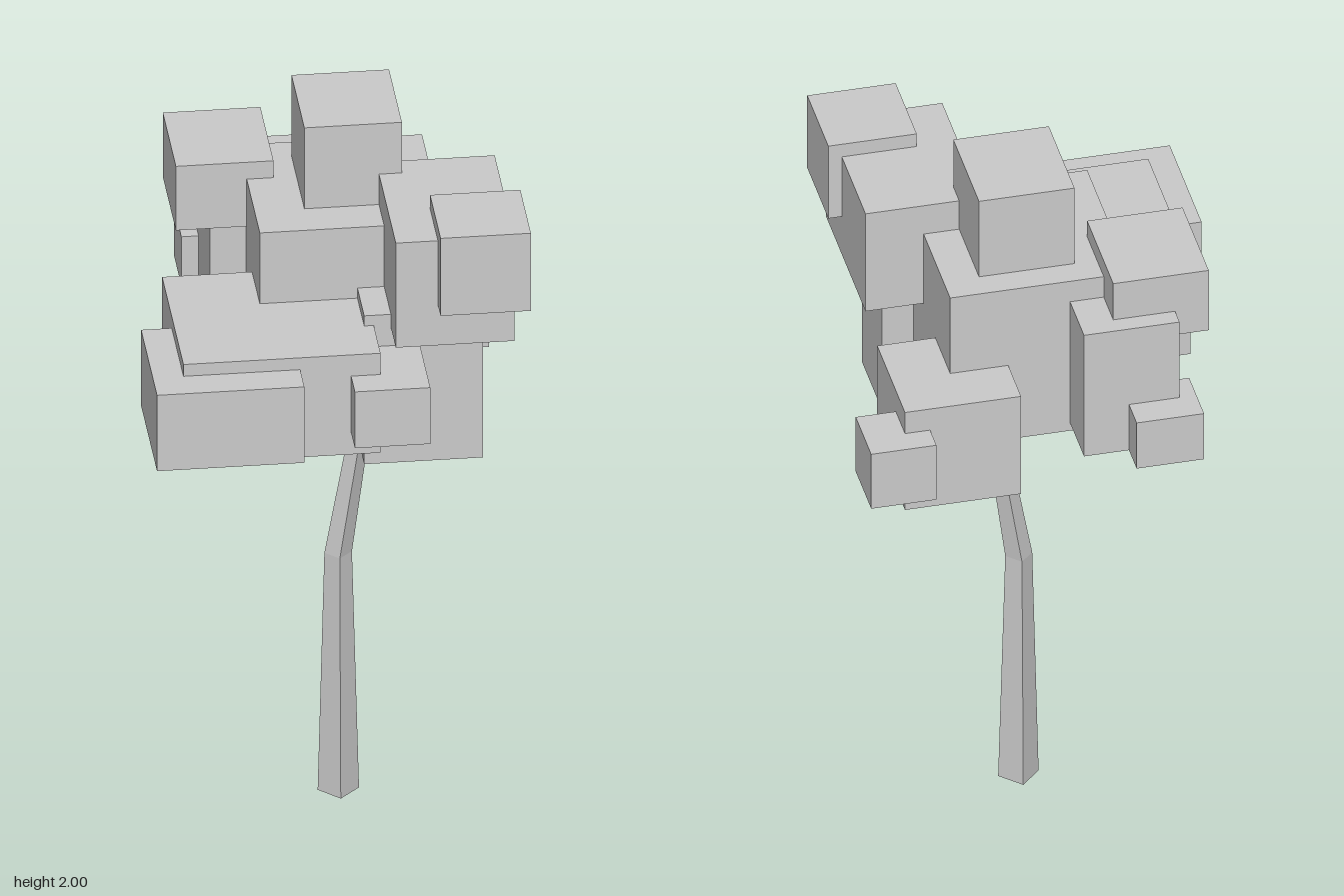
import * as THREE from 'three';

const material = new THREE.MeshStandardMaterial({ color: 0xcccccc, flatShading: true });

// Four-sided tapering limb through rings of [x, y, z, half width]
function limb(name, rings) {
  const n = rings.length - 1;
  const geo = new THREE.CylinderGeometry(1, 1, 1, 4, n);
  const p = geo.attributes.position;
  for (let i = 0; i < p.count; i++) {
    const [x, y, z, r] = rings[Math.round((p.getY(i) + 0.5) * n)];
    p.setXYZ(i, x + p.getX(i) * r, y, z + p.getZ(i) * r);
  }
  geo.computeVertexNormals();
  const mesh = new THREE.Mesh(geo, material);
  mesh.name = name;
  return mesh;
}

// Box given by its limits on each axis
function block(name, [x0, x1, y0, y1, z0, z1]) {
  const mesh = new THREE.Mesh(new THREE.BoxGeometry(x1 - x0, y1 - y0, z1 - z0), material);
  mesh.position.set((x0 + x1) / 2, (y0 + y1) / 2, (z0 + z1) / 2);
  mesh.name = name;
  return mesh;
}

export function createModel() {
  const tree = new THREE.Group();
  tree.name = 'tree';

  // Bent trunk and a short branch under the leaves
  tree.add(limb('trunk', [
    [0.011, 0, -0.016, 0.054],
    [0.011, 0.7, -0.02, 0.036],
    [0.068, 1.07, -0.018, 0.027],
    [0.047, 1.34, -0.057, 0.015],
  ]));
  tree.add(limb('branch', [
    [0.055, 1.25, -0.045, 0.012],
    [0.13, 1.3, 0.12, 0.01],
  ]));

  // Leaf blocks: x, y and z limits
  const foliage = new THREE.Group();
  foliage.name = 'foliage';
  const blocks = {
    crownLeaves: [-0.085, 0.17, 1.74, 2.0, -0.24, 0.045],
    coreLeaves: [-0.215, 0.265, 1.285, 1.76, -0.315, 0.16],
    upperBackRightLeaves: [-0.4, -0.145, 1.62, 1.81, -0.42, -0.13],
    backRightLeaves: [-0.31, -0.055, 1.31, 1.695, -0.47, -0.14],
    backRightTuft: [-0.355, -0.175, 1.31, 1.455, -0.555, -0.39],
    upperFrontLeftLeaves: [0.11, 0.42, 1.54, 1.85, -0.02, 0.417],
    upperFrontLeftTuft: [0.22, 0.456, 1.66, 1.89, 0.243, 0.477],
    lowerFrontLeaves: [0.04, 0.35, 1.14, 1.58, 0.09, 0.31],
    frontTuft: [-0.012, 0.185, 1.32, 1.487, 0.3, 0.545],
    frontRightLeaves: [-0.45, 0.065, 1.255, 1.55, -0.012, 0.46],
    frontRightTuft: [-0.53, -0.145, 1.29, 1.515, 0.2, 0.553],
    backLeftLeaves: [0.11, 0.42, 1.21, 1.52, -0.458, -0.15],
    backLeftTuft: [0.353, 0.527, 1.28, 1.453, -0.528, -0.356],
  };
  for (const [name, limits] of Object.entries(blocks)) foliage.add(block(name, limits));
  tree.add(foliage);
  return tree;
}
